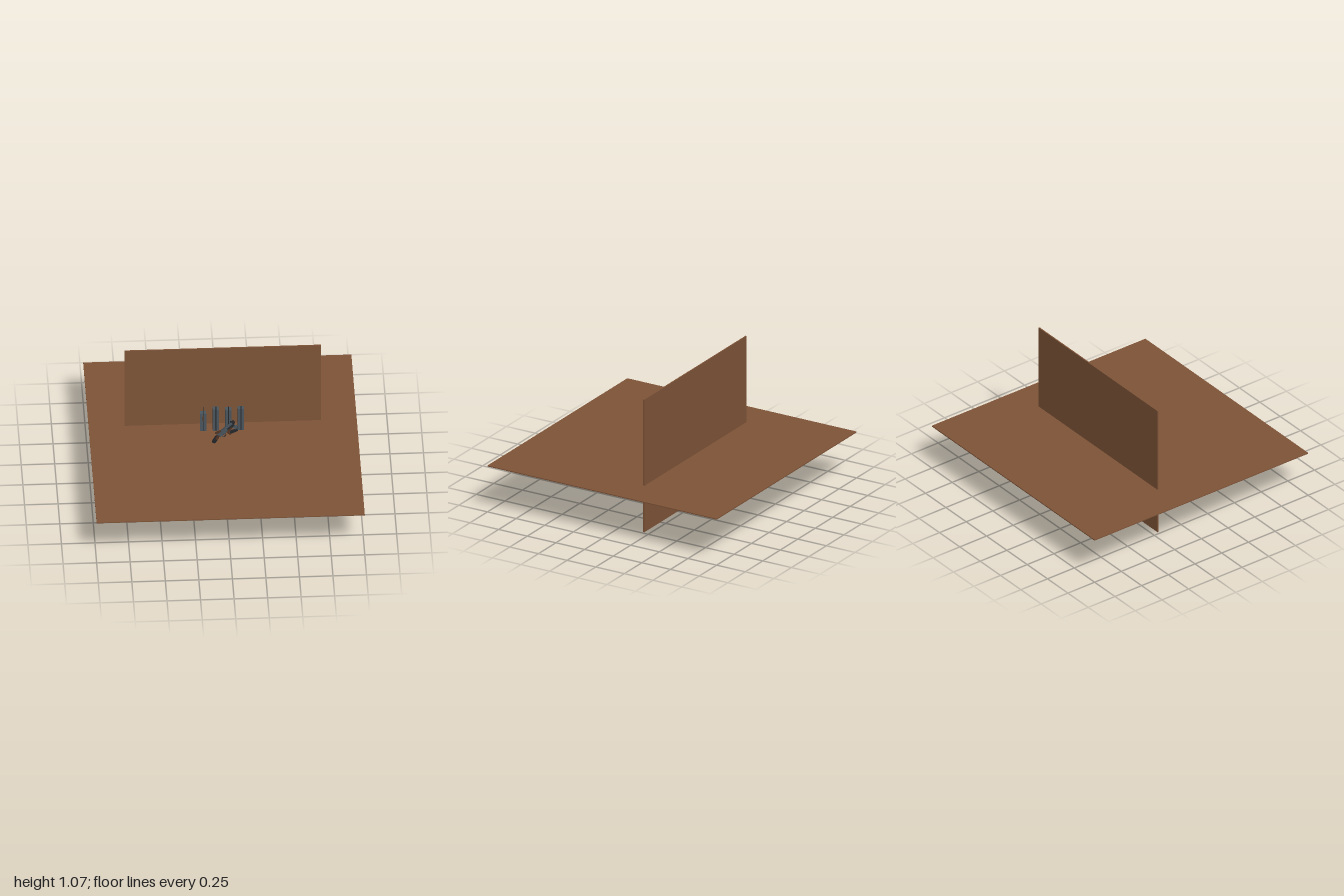
import * as THREE from 'three';

const mat = (name, color, side = THREE.FrontSide) => {
  const m = new THREE.MeshStandardMaterial({ color, side });
  m.name = name;
  return m;
};

export function createModel() {
  const root = new THREE.Group();
  root.name = 'displayStand';
  const wood = mat('brown wood', 0x7f5438);
  const steel = mat('blue grey steel', 0x4a555d);
  const dark = mat('dark metal', 0x24282c);
  const grip = mat('dark brown grip', 0x553522);

  const add = (parent, name, geometry, material, x, y, z, rz = 0) => {
    const mesh = new THREE.Mesh(geometry, material);
    mesh.name = name;
    mesh.position.set(x, y, z);
    mesh.rotation.z = rz;
    parent.add(mesh);
    return mesh;
  };
  const box = (parent, name, material, w, h, d, x, y, z, rz = 0) =>
    add(parent, name, new THREE.BoxGeometry(w, h, d), material, x, y, z, rz);

  // Floor and the wall that passes through it
  box(root, 'floor', wood, 2, 0.008, 2, 0, 0.37, 0);
  box(root, 'wall', wood, 1.464, 1.067, 0.01, 0, 0.5335, -0.2);

  // Row of posts, each with a thin rod and a small bracket in front
  const posts = [[-0.15, 0.375, 0.533], [-0.055, 0.345, 0.568], [0.038, 0.375, 0.56], [0.131, 0.345, 0.568]];
  posts.forEach(([x, bottom, top], i) => {
    const post = new THREE.Group();
    post.name = `post${i + 1}`;
    root.add(post);
    box(post, 'postBody', steel, 0.046, top - bottom, 0.04, x, (top + bottom) / 2, -0.12);
    box(post, 'postRod', dark, 0.005, 0.22, 0.005, x, 0.5, -0.08);
    box(post, 'postBracket', wood, 0.008, 0.045, 0.012, x, 0.497, -0.094);
  });

  // Long tool held at a slant, built along its own x axis
  const tool = new THREE.Group();
  tool.name = 'slantedTool';
  tool.position.set(-0.01, 0.49, 0.068);
  tool.rotation.set(0, -0.08, 0.8);
  root.add(tool);
  const tube = (name, material, r, length, x, y, z = 0) =>
    add(tool, name, new THREE.CylinderGeometry(r, r, length, 12), material, x, y, z, Math.PI / 2);
  box(tool, 'receiver', steel, 0.085, 0.034, 0.024, -0.005, 0, 0);
  tube('barrel', steel, 0.011, 0.09, 0.075, 0.008);
  tube('underBarrel', dark, 0.008, 0.075, 0.065, -0.012);
  tube('muzzleRing', dark, 0.014, 0.014, 0.116, 0.008);
  box(tool, 'foreGrip', grip, 0.045, 0.012, 0.026, 0.055, -0.017, 0);
  box(tool, 'sight', dark, 0.01, 0.012, 0.006, 0.105, 0.022, 0);
  box(tool, 'hammer', grip, 0.012, 0.028, 0.008, -0.045, 0.022, 0, 0.5);

  // Rounded grip at the lower end
  const handle = add(tool, 'handle', new THREE.CapsuleGeometry(0.016, 0.05, 4, 10), dark,
    -0.092, -0.012, -0.006, -Math.PI / 2 + 0.28);
  handle.scale.z = 0.85;
  box(tool, 'gripPanel', grip, 0.04, 0.016, 0.03, -0.062, -0.003, 0, 0.25);

  // Trigger guard and trigger
  add(tool, 'triggerGuard', new THREE.TorusGeometry(0.016, 0.003, 6, 16), dark, -0.018, -0.024, 0);
  box(tool, 'trigger', dark, 0.004, 0.018, 0.004, -0.018, -0.024, 0, 0.2);

  // Short splayed fittings beside the tool
  const fittings = new THREE.Group();
  fittings.name = 'splayedFittings';
  root.add(fittings);
  box(fittings, 'upperFitting', steel, 0.06, 0.022, 0.02, 0.065, 0.535, 0.062, -0.6);
  box(fittings, 'lowerFitting', dark, 0.06, 0.018, 0.018, 0.07, 0.495, 0.07, 0.45);
  box(fittings, 'innerFitting', grip, 0.045, 0.013, 0.016, 0.03, 0.485, 0.074, -0.8);
  box(fittings, 'sideFitting', steel, 0.018, 0.05, 0.016, 0.088, 0.515, 0.064, 0.2);
  box(fittings, 'rearFitting', grip, 0.035, 0.012, 0.014, -0.045, 0.5, 0.085, 0.5);
  return root;
}
